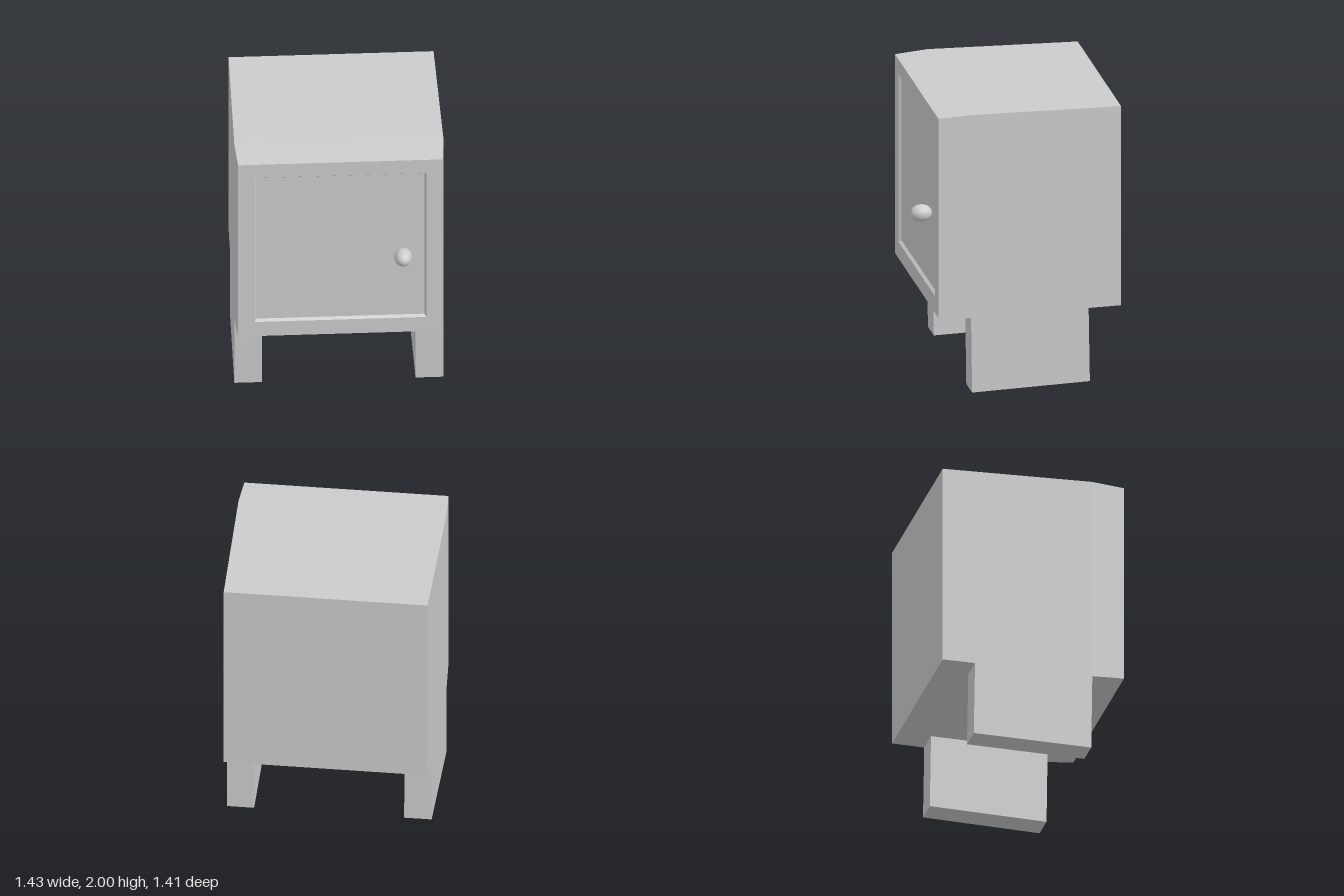
import * as THREE from 'three';

const material = new THREE.MeshStandardMaterial({ color: 0xcccccc, flatShading: true });
const smooth = new THREE.MeshStandardMaterial({ color: 0xcccccc });

// Lofts rectangles [x0, x1, y0, y1, zBottom, zTop] ordered from back to front, capped at both ends.
function loft(name, sections) {
  const positions = [];
  const quad = (a, b, c, d) => positions.push(...a, ...b, ...c, ...a, ...c, ...d);
  const rings = sections.map(([x0, x1, y0, y1, zb, zt = zb]) =>
    [[x0, y0, zb], [x1, y0, zb], [x1, y1, zt], [x0, y1, zt]]);
  for (let i = 0; i < rings.length - 1; i++) {
    for (let k = 0; k < 4; k++) {
      const n = (k + 1) % 4;
      quad(rings[i][k], rings[i][n], rings[i + 1][n], rings[i + 1][k]);
    }
  }
  const [a, b, c, d] = rings[0];
  quad(d, c, b, a);
  quad(...rings[rings.length - 1]);
  const geometry = new THREE.BufferGeometry();
  geometry.setAttribute('position', new THREE.Float32BufferAttribute(positions, 3));
  geometry.computeVertexNormals();
  const mesh = new THREE.Mesh(geometry, material);
  mesh.name = name;
  return mesh;
}

export function createModel() {
  const model = new THREE.Group();
  model.name = 'bedsideCabinet';

  // Cabinet: swells slightly towards the front, then steps into the recessed door panel
  model.add(loft('cabinet', [
    [-0.70, 0.70, 0.55, 1.985, -0.705],
    [-0.714, 0.714, 0.538, 2.0, 0.34],
    [-0.70, 0.70, 0.552, 1.985, 0.57],
    [-0.586, 0.586, 0.67, 1.875, 0.57],
    [-0.575, 0.575, 0.684, 1.86, 0.55],
  ]));

  // Slab legs, flush with the cabinet sides
  const legSections = [
    [0.515, 0.703, 0.02, 0.56, -0.487, -0.478],
    [0.524, 0.714, 0.0, 0.56, 0.337, 0.345],
  ];
  model.add(loft('leftLeg', legSections));
  model.add(loft('rightLeg', legSections.map(([x0, x1, ...rest]) => [-x1, -x0, ...rest])));

  // Door knob
  const knobGeometry = new THREE.SphereGeometry(1, 32, 20);
  knobGeometry.rotateX(Math.PI / 2);
  knobGeometry.scale(0.06, 0.06, 0.075);
  const knob = new THREE.Mesh(knobGeometry, smooth);
  knob.name = 'doorKnob';
  knob.position.set(0.425, 1.22, 0.63);
  model.add(knob);

  return model;
}
